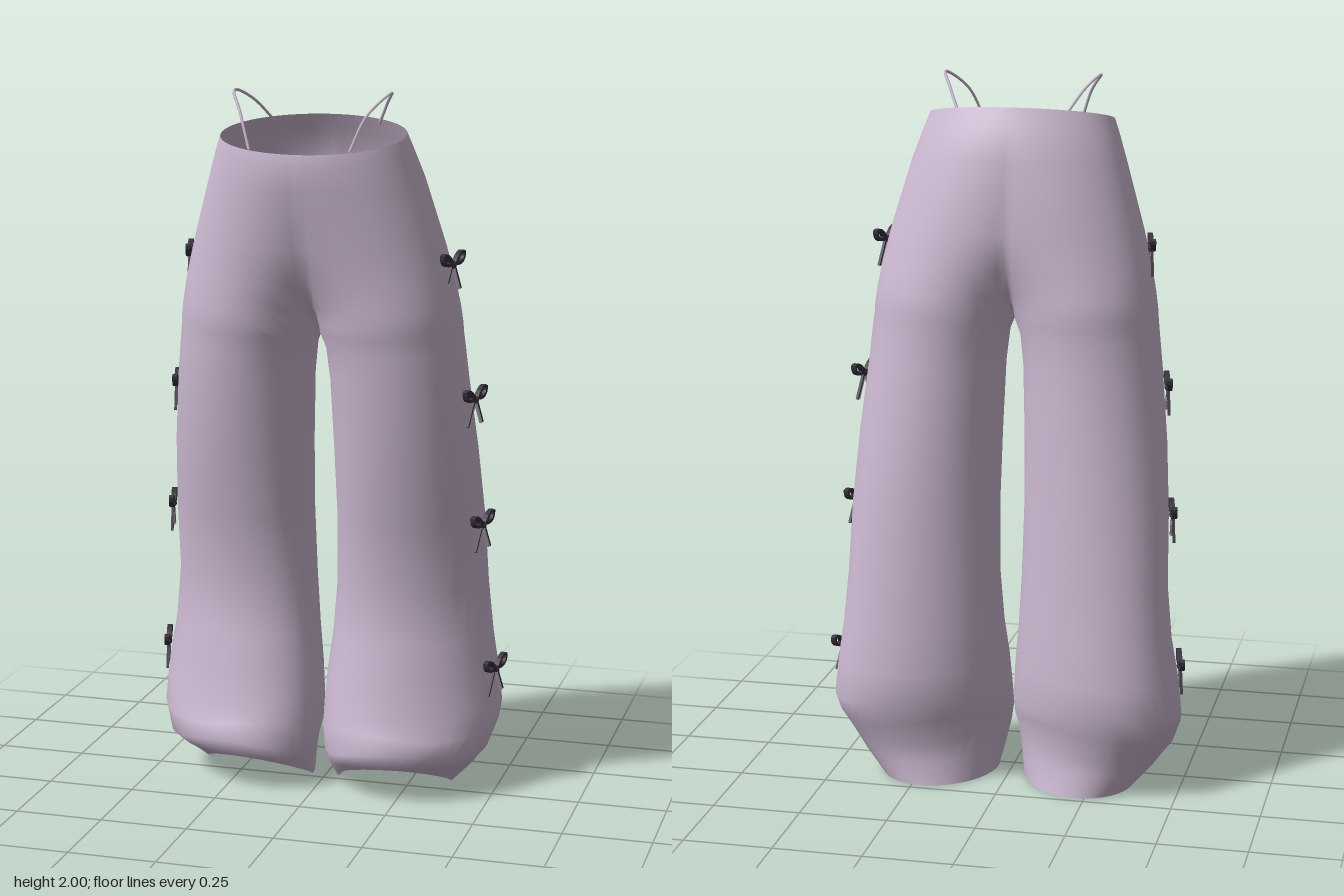
import * as THREE from 'three';
import { mergeVertices } from 'three/addons/utils/BufferGeometryUtils.js';

const fabric = new THREE.MeshStandardMaterial({ color: 0xcbb8d0, side: THREE.DoubleSide });
fabric.name = 'lilacFabric';
const dark = new THREE.MeshStandardMaterial({ color: 0x38323c, side: THREE.DoubleSide });
dark.name = 'darkRibbon';

// Rows from waist to hem: y, inner x, outer x, front z, back z
const ROWS = [
  [1.88, 0, 0.26, 0.265, -0.065],
  [1.84, 0, 0.275, 0.27, -0.09],
  [1.76, 0, 0.302, 0.268, -0.135],
  [1.58, 0, 0.355, 0.245, -0.165],
  [1.48, 0, 0.38, 0.228, -0.17],
  [1.41, 0, 0.393, 0.216, -0.172],
  [1.36, 0, 0.4, 0.21, -0.174],
  [1.335, 0, 0.402, 0.207, -0.175],
  [1.29, 0.018, 0.407, 0.2, -0.177],
  [1.2, 0.028, 0.417, 0.19, -0.18],
  [1.0, 0.035, 0.438, 0.163, -0.2],
  [0.8, 0.038, 0.452, 0.122, -0.217],
  [0.6, 0.034, 0.458, 0.085, -0.232],
  [0.45, 0.024, 0.472, 0.1, -0.248],
  [0.34, 0.012, 0.49, 0.128, -0.258],
  [0.25, 0.006, 0.5, 0.138, -0.262],
  [0.19, 0.005, 0.497, 0.165, -0.24],
  [0.13, 0.015, 0.472, 0.18, -0.222],
  [0.07, 0.026, 0.425, 0.168, -0.218],
  [0.005, 0.04, 0.365, 0.125, -0.228],
];

// Straight-line interpolation through [y, value] stops in rising order
function ramp(y, stops) {
  if (y <= stops[0][0]) return stops[0][1];
  for (let i = 1; i < stops.length; i++) {
    const [y0, v0] = stops[i - 1], [y1, v1] = stops[i];
    if (y <= y1) return THREE.MathUtils.mapLinear(y, y0, y1, v0, v1);
  }
  return stops[stops.length - 1][1];
}

// 1 = both legs share one hip outline, 0 = separate legs
const hipBlend = (y) => ramp(y, [[1.335, 0], [1.36, 0.18], [1.41, 0.45], [1.48, 0.68], [1.58, 0.84], [1.76, 0.97], [1.84, 1]]);
// Waistband rises to the back, hem rises at the front
const waistTilt = (y) => ramp(y, [[1.58, 0], [1.76, 0.02], [1.88, 0.04]]);
const hemArch = (y) => ramp(y, [[0.005, 0.085], [0.07, 0.04], [0.13, 0.01], [0.3, 0]]);
// Lower legs turn outward, so the outer side sits further back
const turnOut = (y) => ramp(y, [[0.005, 0.025], [0.25, 0.045], [1.2, 0]]);

// Point on a row; s runs from the front centre round the outside to the back centre
function rowPoint([y, xi, xo, zf, zb], s) {
  const k = hipBlend(y);
  const depth = (zf - zb) / 2 / (1 - 0.48 * k * (1 - k));
  const legX = (xi + xo) / 2 - (xo - xi) / 2 * Math.cos(2 * s);
  const nz = THREE.MathUtils.lerp(Math.sin(2 * s), Math.cos(s), k);
  // soft folds gathered above the hem
  const gather = y < 0.3 && y > 0.1 ? 0.012 * Math.sin(6 * s + y * 25) : 0;
  return [
    THREE.MathUtils.lerp(legX, xo * Math.sin(s), k),
    y - waistTilt(y) * nz + hemArch(y) * Math.max(0, nz) + gather,
    (zf + zb) / 2 + depth * nz + turnOut(y) * Math.cos(2 * s),
  ];
}

function trouserGeometry() {
  const N = 40, pos = [], idx = [];
  for (const side of [1, -1]) {
    const base = pos.length / 3;
    for (const row of ROWS) {
      for (let i = 0; i <= N; i++) {
        const [x, y, z] = rowPoint(row, (i / N) * Math.PI);
        pos.push(side * x, y, z);
      }
    }
    for (let r = 0; r < ROWS.length - 1; r++) {
      for (let i = 0; i < N; i++) {
        const a = base + r * (N + 1) + i, b = a + 1, c = a + N + 1, d = c + 1;
        if (side > 0) idx.push(a, c, b, b, c, d);
        else idx.push(a, b, c, b, d, c);
      }
    }
  }
  let g = new THREE.BufferGeometry();
  g.setAttribute('position', new THREE.Float32BufferAttribute(pos, 3));
  g.setIndex(idx);
  g = mergeVertices(g, 1e-5);
  g.computeVertexNormals();
  return g;
}

// Ribbon loop: a teardrop with an opening
function loopGeometry() {
  const s = new THREE.Shape();
  s.moveTo(0, 0);
  s.bezierCurveTo(0.02, 0.03, 0.05, 0.042, 0.064, 0.03);
  s.bezierCurveTo(0.066, 0.01, 0.05, -0.012, 0, 0);
  const h = new THREE.Path();
  h.moveTo(0.022, 0.008);
  h.bezierCurveTo(0.032, 0.024, 0.046, 0.03, 0.054, 0.024);
  h.bezierCurveTo(0.054, 0.012, 0.044, 0.002, 0.022, 0.008);
  s.holes.push(h);
  const g = new THREE.ExtrudeGeometry(s, { depth: 0.014, bevelEnabled: false, curveSegments: 6 });
  return g.translate(0, 0, -0.007);
}

function makeBow() {
  const bow = new THREE.Group();
  bow.name = 'bow';
  const loop = loopGeometry();
  const tail = new THREE.BoxGeometry(0.011, 0.08, 0.006).translate(0, -0.04, 0);
  for (const side of [1, -1]) {
    const l = new THREE.Mesh(loop, dark);
    l.name = 'bowLoop';
    if (side < 0) l.rotation.y = Math.PI;
    const t = new THREE.Mesh(tail, fabric);
    t.name = 'bowTail';
    t.rotation.z = side * 0.5;
    const edge = new THREE.Mesh(tail, dark);
    edge.name = 'bowTailEdge';
    edge.scale.set(0.5, 1, 1.3);
    edge.position.x = side * 0.006;
    edge.rotation.z = side * 0.5;
    bow.add(l, t, edge);
  }
  const knot = new THREE.Mesh(new THREE.SphereGeometry(0.011, 10, 8), dark);
  knot.name = 'bowKnot';
  bow.add(knot);
  return bow;
}

export function createModel() {
  const model = new THREE.Group();
  model.name = 'trousers';

  const body = new THREE.Mesh(trouserGeometry(), fabric);
  body.name = 'hipsAndLegs';
  model.add(body);

  // Bows down each outer seam: x, y, z
  const bows = [[0.378, 1.53, 0.04], [0.436, 1.15, 0.0], [0.458, 0.79, -0.02], [0.492, 0.36, -0.06]];
  for (const side of [1, -1]) {
    for (const [x, y, z] of bows) {
      const bow = makeBow();
      bow.position.set(side * x, y, z);
      bow.rotation.y = side * (Math.PI / 2 - 0.25);
      model.add(bow);
    }
    // Thin strap looping over the waist
    const strap = new THREE.CatmullRomCurve3([
      [0.14, 1.85, 0.24], [0.175, 1.94, 0.2], [0.22, 1.996, 0.11], [0.19, 1.965, 0.03], [0.15, 1.9, -0.035],
    ].map(([x, y, z]) => new THREE.Vector3(side * x, y, z)));
    const mesh = new THREE.Mesh(new THREE.TubeGeometry(strap, 24, 0.004, 6), fabric);
    mesh.name = 'waistStrap';
    model.add(mesh);
  }
  return model;
}
